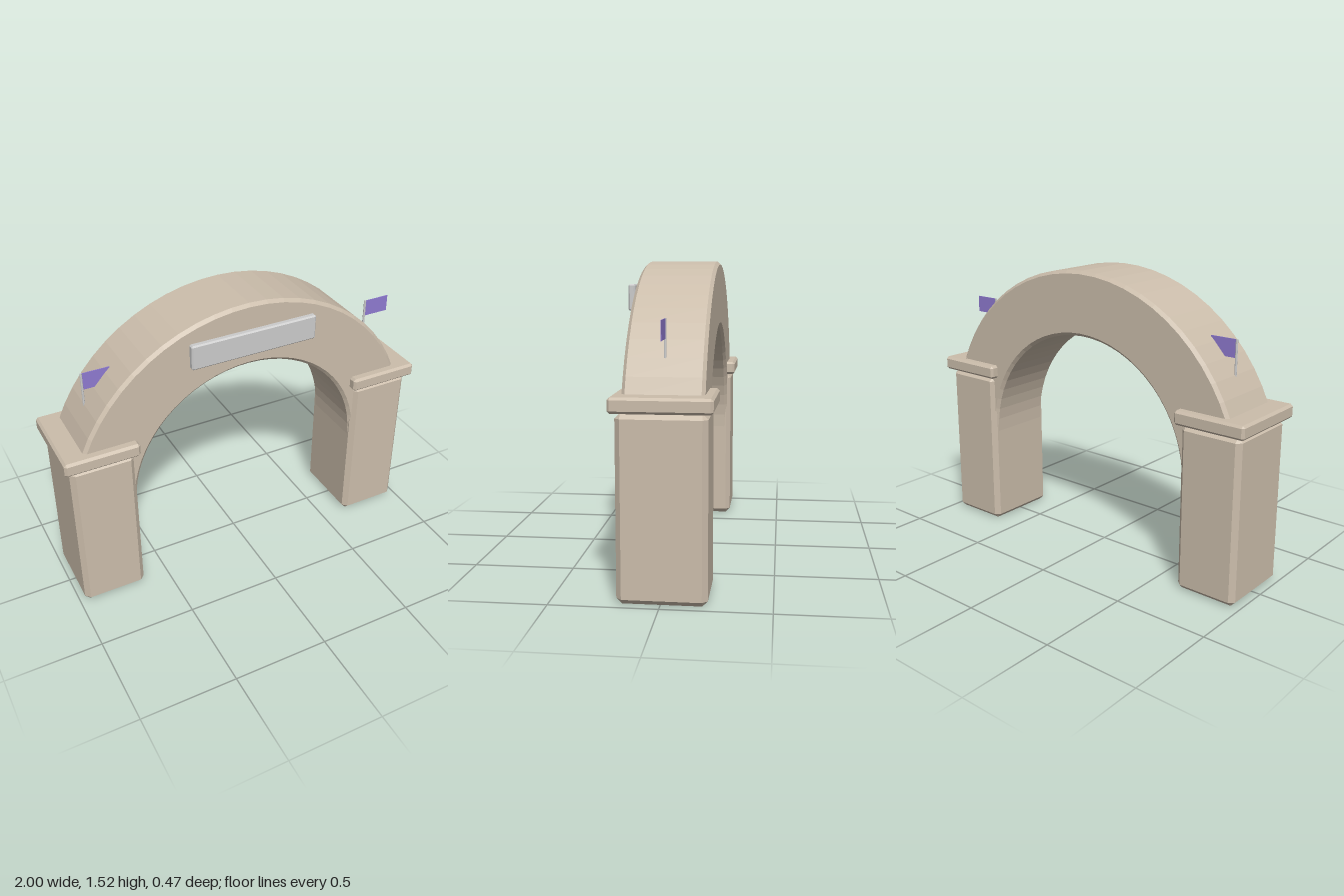
import * as THREE from 'three';
import { ConvexGeometry } from 'three/addons/geometries/ConvexGeometry.js';

const stone = new THREE.MeshStandardMaterial({ color: 0xcbbdab, flatShading: true });
const grey = new THREE.MeshStandardMaterial({ color: 0xcccccc, flatShading: true });
const purple = new THREE.MeshStandardMaterial({ color: 0x8f7ad0, side: THREE.DoubleSide });

const MID_Z = -0.007;

function add(parent, name, geometry, material, x, y, z) {
  const mesh = new THREE.Mesh(geometry, material);
  mesh.name = name;
  mesh.position.set(x, y, z);
  parent.add(mesh);
  return mesh;
}

// Box with a single flat chamfer along all edges
function chamferBox(w, h, d, c) {
  const points = [];
  for (const sx of [-1, 1]) for (const sy of [-1, 1]) for (const sz of [-1, 1]) {
    for (let axis = 0; axis < 3; axis++) {
      const inset = [c, c, c];
      inset[axis] = 0;
      points.push(new THREE.Vector3(
        sx * (w / 2 - inset[0]), sy * (h / 2 - inset[1]), sz * (d / 2 - inset[2])));
    }
  }
  return new ConvexGeometry(points);
}

// Half ring with bevelled edges, centred in depth
function archGeometry(outer, inner, depth, bevel) {
  const shape = new THREE.Shape();
  shape.absarc(0, 0, outer - bevel, 0, Math.PI, false);
  shape.absarc(0, 0, inner + bevel, Math.PI, 0, true);
  shape.closePath();
  const geometry = new THREE.ExtrudeGeometry(shape, {
    depth: depth - 2 * bevel, steps: 1, curveSegments: 16,
    bevelEnabled: true, bevelSize: bevel, bevelThickness: bevel, bevelSegments: 1,
  });
  geometry.translate(0, 0, bevel - depth / 2);
  // bevel starts at -bevel, so recentre exactly
  geometry.computeBoundingBox();
  const box = geometry.boundingBox;
  geometry.translate(0, 0, -(box.min.z + box.max.z) / 2);
  return geometry;
}

export function createModel() {
  const model = new THREE.Group();
  model.name = 'archway';

  // Pillars with cap slabs
  for (const [side, s] of [['left', 1], ['right', -1]]) {
    add(model, side + 'Pillar', chamferBox(0.333, 0.86, 0.41, 0.025), stone, s * 0.804, 0.43, MID_Z);
    add(model, side + 'Cap', chamferBox(0.385, 0.072, 0.46, 0.012), stone, s * 0.8075, 0.897, MID_Z);
  }

  // Arch spanning the pillars
  add(model, 'arch', archGeometry(0.97, 0.637, 0.371, 0.016), stone, 0, 0.55, MID_Z);

  // Sign panel in front of the crown
  add(model, 'signPanel', chamferBox(0.676, 0.13, 0.034, 0.007), grey, 0, 1.34, 0.22);

  // Flags, both flying toward +x
  for (const [side, x] of [['left', 0.803], ['right', -0.806]]) {
    const flag = new THREE.Group();
    flag.name = side + 'Flag';
    flag.position.set(x, 0, MID_Z);
    add(flag, 'pole', new THREE.CylinderGeometry(0.006, 0.006, 0.23, 8), grey, 0, 1.147, 0);
    add(flag, 'cloth', new THREE.BoxGeometry(0.142, 0.09, 0.004), purple, 0.073, 1.216, 0);
    model.add(flag);
  }

  return model;
}
